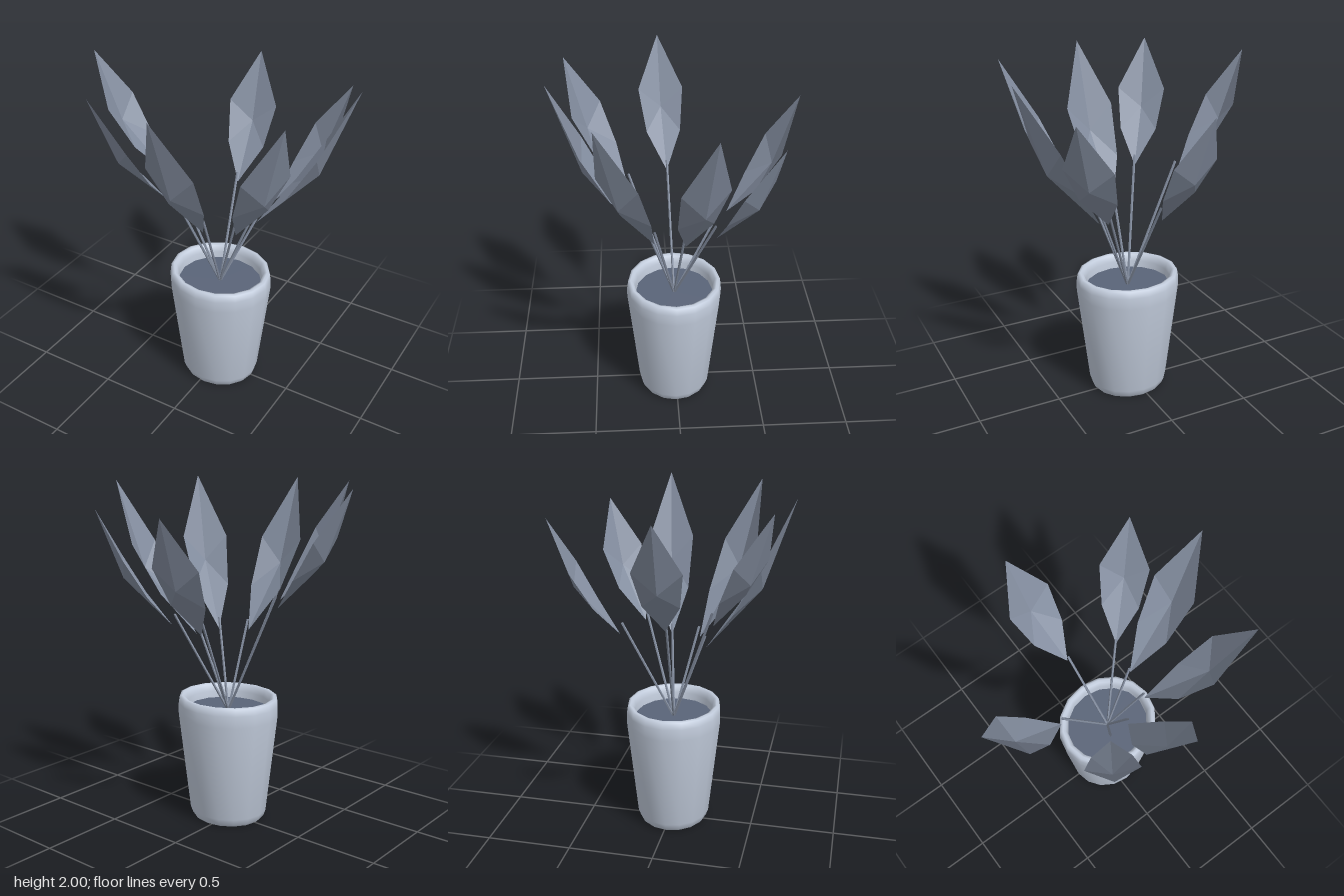
import * as THREE from 'three';
import { toCreasedNormals } from 'three/addons/utils/BufferGeometryUtils.js';

const CENTRE = new THREE.Vector3(0.03, 0, 0.01);
const DEPTH = 0.91; // the plant is slightly narrower front to back
const SOIL_Y = 0.67;

// Leaf base and tip points: [x, y, z]
const LEAVES = [
  { name: 'leftFrontLeaf', base: [0.2, 1.115, 0.13], tip: [0.618, 2.0, 0.422] },
  { name: 'frontLeaf', base: [0.03, 1.115, 0.2], tip: [0.03, 2.0, 0.685] },
  { name: 'rightFrontLeaf', base: [-0.15, 1.31, 0.27], tip: [-0.39, 1.995, 0.608] },
  { name: 'rightLeaf', base: [-0.305, 1.315, 0.035], tip: [-0.75, 1.99, 0.07] },
  { name: 'backLeaf', base: [-0.03, 1.18, -0.295], tip: [-0.105, 1.855, -0.69] },
  { name: 'leftBackLeaf', base: [0.258, 1.18, -0.215], tip: [0.562, 1.855, -0.512] },
  { name: 'leftLeaf', base: [0.23, 1.11, -0.045], tip: [0.75, 1.995, -0.165] },
];

// Faceted leaf: six triangles fanned around a sunken midrib point
function leafGeometry(base, tip) {
  const out = new THREE.Vector3(tip.x - base.x, 0, tip.z - base.z);
  const across = new THREE.Vector3(out.z, 0, -out.x).normalize();
  // run: share of the outward reach, rise: share of the height, half: half width
  const point = (run, rise, half) => new THREE.Vector3(
    base.x + out.x * run + across.x * half,
    base.y + (tip.y - base.y) * rise,
    base.z + out.z * run + across.z * half * DEPTH,
  );
  const middle = point(0.65, 0.42, 0);
  const rim = [
    base, point(0.344, 0.27, 0.11), point(0.656, 0.59, 0.145),
    tip, point(0.656, 0.59, -0.145), point(0.344, 0.27, -0.11),
  ];
  const corners = rim.flatMap((p, i) => [middle, p, rim[(i + 1) % rim.length]]);
  const geometry = new THREE.BufferGeometry().setFromPoints(corners);
  geometry.computeVertexNormals();
  return geometry;
}

export function createModel() {
  const group = new THREE.Group();
  const potMaterial = new THREE.MeshStandardMaterial({ color: 0xc2ccdc, side: THREE.DoubleSide });
  const soilMaterial = new THREE.MeshStandardMaterial({ color: 0x5a6478 });
  const leafMaterial = new THREE.MeshStandardMaterial({ color: 0x848ea0, flatShading: true, side: THREE.DoubleSide });

  const add = (name, geometry, material) => {
    const mesh = new THREE.Mesh(geometry, material);
    mesh.name = name;
    group.add(mesh);
    return mesh;
  };

  // Pot: tapered, rounded foot and softly rolled rim, open at the top
  const profile = [
    [0, 0], [0.215, 0], [0.226, 0.012], [0.24, 0.05], [0.308, 0.64],
    [0.31, 0.67], [0.308, 0.71], [0.301, 0.752], [0.285, 0.757], [0.268, 0.75],
    [0.256, 0.71], [0.252, 0.65],
  ].map(([r, y]) => new THREE.Vector2(r, y));
  const pot = add('pot', toCreasedNormals(new THREE.LatheGeometry(profile, 16), 1.4), potMaterial);
  pot.position.copy(CENTRE);
  pot.scale.z = DEPTH;

  // Soil
  const soil = add('soil', new THREE.CircleGeometry(0.255, 16).rotateX(-Math.PI / 2), soilMaterial);
  soil.position.set(CENTRE.x, SOIL_Y, CENTRE.z);
  soil.scale.z = DEPTH;

  // Stems and leaves
  const root = new THREE.Vector3(CENTRE.x, SOIL_Y - 0.01, CENTRE.z);
  for (const { name, base, tip } of LEAVES) {
    const foot = new THREE.Vector3(...base);
    add(name, leafGeometry(foot, new THREE.Vector3(...tip)), leafMaterial);

    const end = root.clone().lerp(foot, 0.97).setY(foot.y + 0.07);
    const path = new THREE.LineCurve3(root, end);
    add(name.replace('Leaf', 'Stem'), new THREE.TubeGeometry(path, 1, 0.0075, 5), leafMaterial);
  }
  return group;
}
